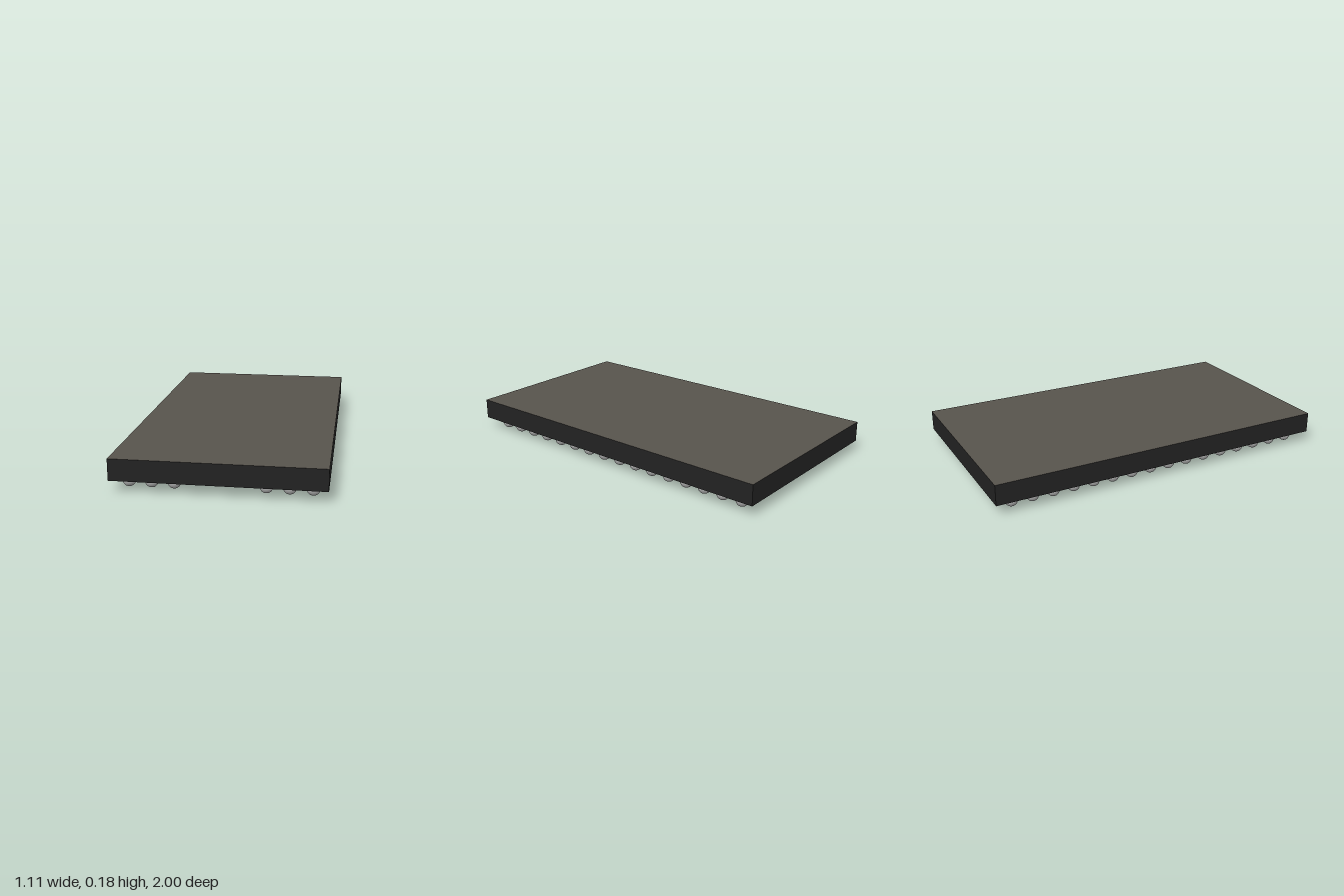
import * as THREE from 'three';

export function createModel() {
  const group = new THREE.Group();
  const mat = (name, color) => {
    const m = new THREE.MeshStandardMaterial({ color });
    m.name = name;
    return m;
  };
  const black = mat('black casing', 0x222222);
  const brown = mat('grey brown top', 0x57534c);
  const silver = mat('solder silver', 0xa8a8a8);

  // Flat package body; only the top face has the lighter colour
  const bottom = 0.063, top = 0.18;
  const body = new THREE.Mesh(
    new THREE.BoxGeometry(1.11, top - bottom, 2),
    [black, black, brown, black, black, black]
  );
  body.name = 'packageBody';
  body.position.y = (top + bottom) / 2;
  group.add(body);

  // Two blocks of solder balls, three columns by sixteen rows each
  const pitch = 0.1187, radius = 0.035, rows = 16;
  const ball = new THREE.SphereGeometry(radius, 24, 16);
  for (const side of [-1, 1]) {
    const block = new THREE.Group();
    block.name = side > 0 ? 'leftBallBlock' : 'rightBallBlock';
    for (let col = 2; col <= 4; col++) {
      for (let row = 0; row < rows; row++) {
        const mesh = new THREE.Mesh(ball, silver);
        mesh.name = 'solderBall';
        mesh.position.set(side * col * pitch, radius, (row - (rows - 1) / 2) * pitch);
        block.add(mesh);
      }
    }
    group.add(block);
  }
  return group;
}
